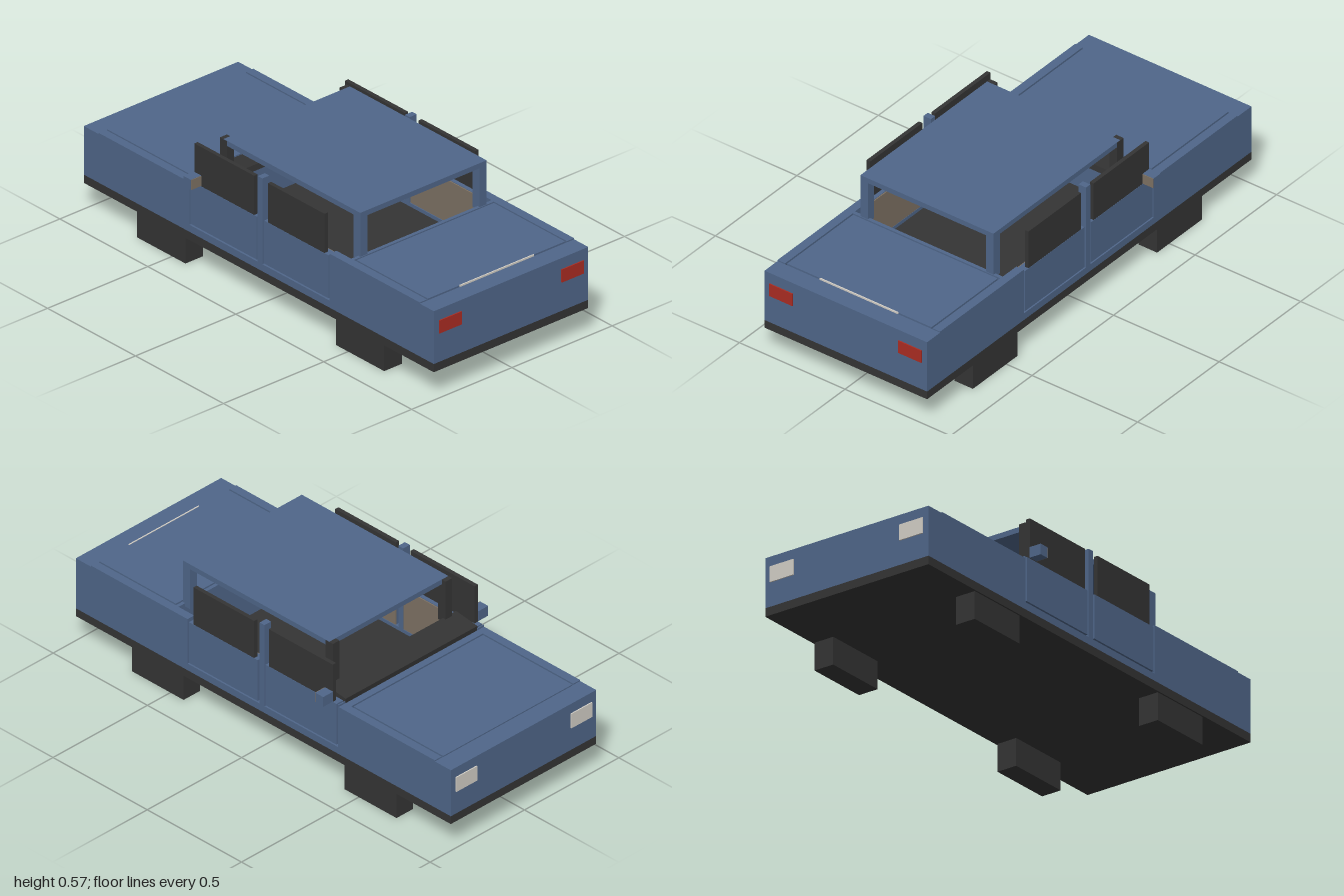
import * as THREE from 'three';

const mat = (name, color) => {
  const m = new THREE.MeshStandardMaterial({ color });
  m.name = name;
  return m;
};

export function createModel() {
  const car = new THREE.Group();
  car.name = 'car';
  const blue = mat('body blue', 0x4f6689);
  const dark = mat('dark trim', 0x343434);
  const red = mat('tail light red', 0xaa2c22);
  const light = mat('lamp white', 0xd2cec6);
  const brown = mat('interior brown', 0x7d7163);

  // Box given by its extents on each axis
  function box(name, m, x0, x1, y0, y1, z0, z1) {
    const g = new THREE.BoxGeometry(x1 - x0, y1 - y0, z1 - z0);
    const mesh = new THREE.Mesh(g, m);
    mesh.position.set((x0 + x1) / 2, (y0 + y1) / 2, (z0 + z1) / 2);
    mesh.name = name;
    car.add(mesh);
    return mesh;
  }
  // The same box on both sides of the car
  function pair(name, m, x0, x1, ...rest) {
    box(name + 'Left', m, x0, x1, ...rest);
    box(name + 'Right', m, -x1, -x0, ...rest);
  }

  // Chassis, floor and wheels
  box('chassis', dark, -0.385, 0.385, 0.115, 0.15, -0.995, 0.995);
  box('cabinFloor', dark, -0.35, 0.35, 0.15, 0.165, -0.4, 0.5);
  pair('rearWheel', dark, 0.29, 0.378, 0, 0.115, 0.43, 0.705);
  pair('frontWheel', dark, 0.29, 0.378, 0, 0.115, -0.7, -0.425);

  // Boot: block, dark seam bed, rims and lid
  box('bootBlock', blue, -0.385, 0.385, 0.15, 0.365, 0.485, 0.995);
  box('bootSeam', dark, -0.35, 0.35, 0.364, 0.368, 0.495, 0.915);
  pair('bootRim', blue, 0.349, 0.385, 0.365, 0.38, 0.485, 0.915);
  box('bootCowl', blue, -0.349, 0.349, 0.365, 0.38, 0.485, 0.5);
  box('bootEdge', blue, -0.385, 0.385, 0.365, 0.375, 0.915, 0.995);
  box('bootLid', blue, -0.342, 0.342, 0.367, 0.38, 0.507, 0.912);
  box('bootStrip', light, -0.185, 0.185, 0.37, 0.382, 0.911, 0.916);

  // Bonnet
  box('bonnetBlock', blue, -0.385, 0.385, 0.15, 0.345, -0.995, -0.4);
  box('bonnetSeam', dark, -0.35, 0.35, 0.344, 0.348, -0.915, -0.43);
  pair('bonnetRim', blue, 0.349, 0.385, 0.345, 0.362, -0.91, -0.4);
  box('bonnetCowl', blue, -0.349, 0.349, 0.345, 0.362, -0.43, -0.4);
  box('bonnetEdge', blue, -0.385, 0.385, 0.345, 0.357, -0.995, -0.91);
  box('bonnetLid', blue, -0.342, 0.342, 0.347, 0.362, -0.911, -0.437);

  // Cabin sides, with open seams around the doors
  pair('sill', blue, 0.35, 0.385, 0.15, 0.18, -0.4, 0.485);
  pair('quarterPanel', blue, 0.35, 0.385, 0.18, 0.38, 0.402, 0.485);
  pair('frontPost', blue, 0.35, 0.385, 0.18, 0.37, -0.4, -0.395);
  pair('middlePillar', blue, 0.35, 0.385, 0.18, 0.545, -0.006, 0.02);
  [['rear', 0.03, 0.395, 0.05, 0.372], ['front', -0.388, -0.012, -0.368, -0.028]].forEach(
    ([n, z0, z1, w0, w1]) => {
      pair(n + 'Door', blue, 0.35, 0.385, 0.187, 0.37, z0, z1);
      pair(n + 'DoorTrim', brown, 0.345, 0.35, 0.187, 0.368, z0, z1);
      pair(n + 'Window', dark, 0.367, 0.384, 0.37, 0.537, w0, w1);
    });

  // Roof and its pillars
  box('roof', blue, -0.315, 0.315, 0.545, 0.567, -0.28, 0.497);
  pair('rearPillar', blue, 0.28, 0.315, 0.365, 0.545, 0.458, 0.497);
  pair('frontPillar', dark, 0.281, 0.316, 0.38, 0.566, -0.3, -0.26);

  // Dashboard, sloping up towards the cabin
  const dash = box('dashboard', dark, -0.349, 0.349, 0.365, 0.39, -0.4, -0.285);
  dash.rotation.x = -0.13;

  // Mirrors with glass towards the boot
  pair('mirror', blue, 0.385, 0.437, 0.373, 0.417, -0.37, -0.328);
  pair('mirrorGlass', brown, 0.386, 0.436, 0.374, 0.416, -0.329, -0.325);

  // Lamps
  pair('tailLight', red, 0.25, 0.36, 0.273, 0.328, 0.992, 1);
  pair('headLight', light, 0.25, 0.36, 0.25, 0.315, -1, -0.992);
  return car;
}
